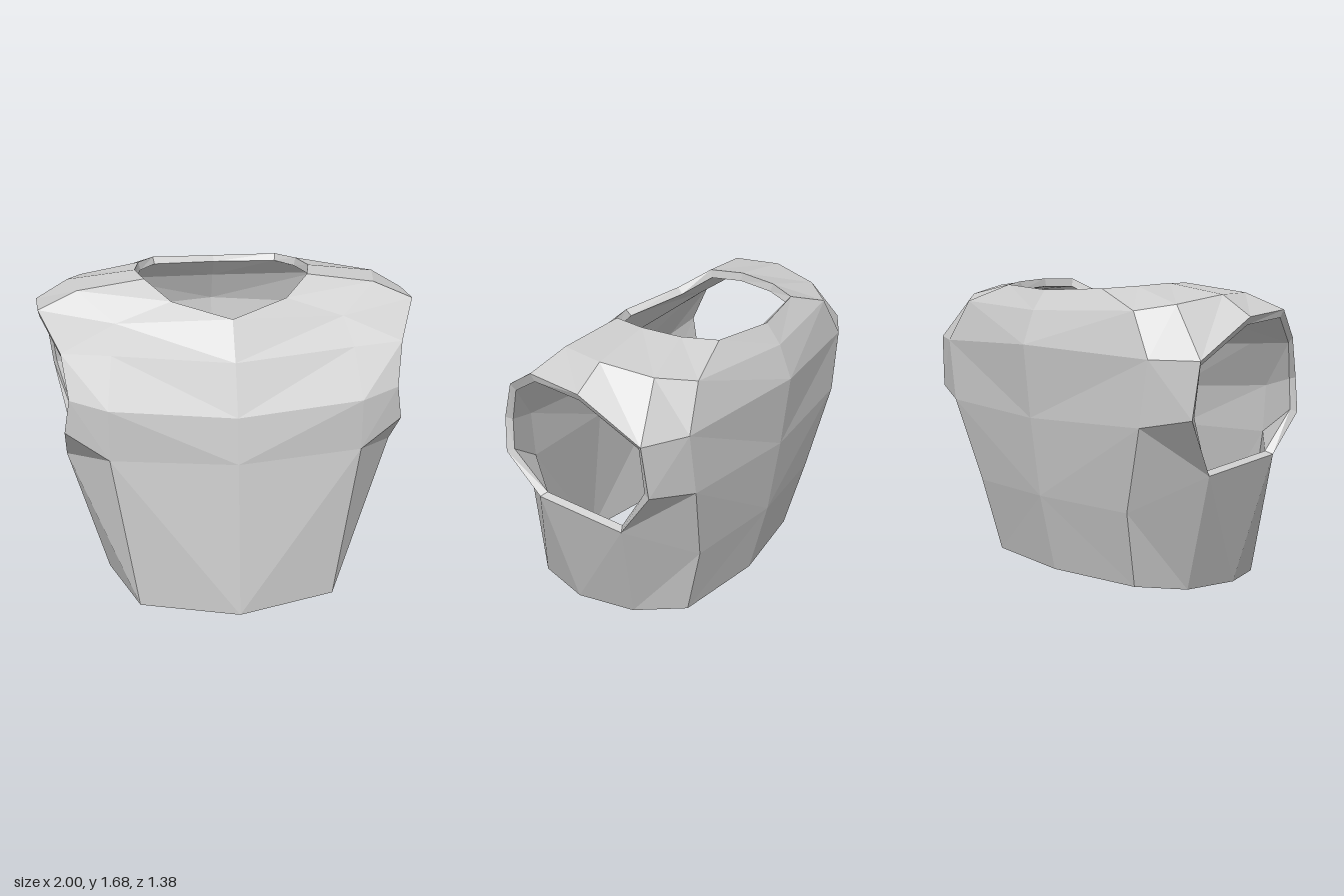
import * as THREE from 'three';

const THICKNESS = 0.045;

// Half-shell outline points (x >= 0), grouped by region; mirrored across x = 0
const regions = {
  // hem, front centre to back centre
  h: [[0, 0.005, 0.685], [0.52, 0.03, 0.56], [0.67, 0.08, 0.2], [0.645, 0.11, -0.15], [0.52, 0.16, -0.42], [0, 0.16, -0.49]],
  // arm opening, from lower front, over the top, to lower back
  a: [[0.87, 0.8, 0.26], [0.87, 1, 0.47], [0.84, 1.18, 0.49], [0.87, 1.4, 0.41], [0.98, 1.56, 0.17],
    [1, 1.54, -0.13], [0.97, 1.35, -0.46], [0.94, 1.07, -0.48], [0.86, 0.76, -0.25]],
  // neck opening, front to back
  n: [[0, 1.525, 0.34], [0.3, 1.59, 0.2], [0.43, 1.68, 0.07], [0.47, 1.685, -0.11], [0.44, 1.675, -0.32], [0.35, 1.665, -0.48], [0, 1.65, -0.54]],
  // chest: centre line, then side column
  f: [[0, 1.33, 0.455], [0, 1.07, 0.555], [0, 0.83, 0.592], [0.62, 1.38, 0.415], [0.65, 1.13, 0.535], [0.65, 0.86, 0.53], [0.59, 1.5, 0.26]],
  // shoulder ridge
  s: [[0.78, 1.64, 0.115], [0.83, 1.64, -0.13], [0.76, 1.6, -0.39]],
  // back: side and centre of each row, top to bottom
  b: [[0.62, 1.57, -0.54], [0, 1.55, -0.62], [0.75, 1.35, -0.58], [0, 1.38, -0.69], [0.7, 1.02, -0.585], [0, 1, -0.65], [0.56, 0.57, -0.52], [0, 0.58, -0.59]],
};

const panels = [
  // lower body
  'h0 h1 f5 f2', 'h1 h2 a0 f5', 'h2 h3 a8 a0', 'h3 h4 b6 a8', 'h4 h5 b7 b6',
  // chest
  'f5 a0 a1', 'f5 a1 a2 f4', 'f2 f5 f4 f1', 'f1 f4 f3 f0', 'f4 a2 a3 f3',
  'f3 a3 f6', 'f0 f3 f6', 'f0 f6 n0', 'n0 f6 n1',
  // shoulder
  'n1 f6 s0 n2', 'f6 a3 a4 s0', 'n2 s0 s1 n3', 's0 a4 a5 s1', 'n3 s1 s2 n4', 's1 a5 a6 s2',
  // back
  'n4 s2 b0 n5', 'n5 b0 b1 n6', 's2 a6 b2 b0', 'b0 b2 b3 b1', 'b2 a6 a7 b4', 'b2 b4 b5 b3', 'b4 a7 a8 b6', 'b4 b6 b7 b5',
];

// Full outer skin as shared points and outward-facing triangles
function buildSkin() {
  const points = [], right = {}, left = {}, triangles = [];
  for (const [key, list] of Object.entries(regions)) {
    list.forEach(([x, y, z], i) => {
      right[key + i] = left[key + i] = points.push(new THREE.Vector3(x, y, z)) - 1;
      if (x > 0) left[key + i] = points.push(new THREE.Vector3(-x, y, z)) - 1;
    });
  }
  const centre = new THREE.Vector3(0, 1, 0);
  const add = (a, b, c) => {
    const tri = new THREE.Triangle(points[a], points[b], points[c]);
    const out = tri.getMidpoint(new THREE.Vector3()).sub(centre);
    triangles.push(tri.getNormal(new THREE.Vector3()).dot(out) > 0 ? [a, b, c] : [a, c, b]);
  };
  for (const panel of panels) {
    for (const side of [right, left]) {
      const [a, b, c, d] = panel.split(' ').map((name) => side[name]);
      add(a, b, c);
      if (d !== undefined) add(a, c, d);
    }
  }
  return { points, triangles };
}

function meshFrom(name, points, triangles, material) {
  const indexed = new THREE.BufferGeometry().setFromPoints(points);
  indexed.setIndex(triangles.flat());
  const geometry = indexed.toNonIndexed();
  geometry.computeVertexNormals();
  const mesh = new THREE.Mesh(geometry, material);
  mesh.name = name;
  return mesh;
}

export function createModel() {
  const group = new THREE.Group();
  group.name = 'torsoArmour';
  const metal = new THREE.MeshStandardMaterial({ color: 0xcccccc });
  metal.name = 'pale grey';
  metal.flatShading = true;

  const { points, triangles } = buildSkin();

  // Inner lining: the skin pushed inward along averaged normals
  const normals = points.map(() => new THREE.Vector3());
  const edges = new Set();
  for (const [a, b, c] of triangles) {
    const n = new THREE.Triangle(points[a], points[b], points[c]).getNormal(new THREE.Vector3());
    [a, b, c].forEach((i) => normals[i].add(n));
    [[a, b], [b, c], [c, a]].forEach((e) => edges.add(e.join()));
  }
  const inner = points.map((p, i) => p.clone().addScaledVector(normals[i].normalize(), -THICKNESS));

  // Rims: bridge every open edge to the lining
  const rim = [], count = points.length;
  for (const edge of edges) {
    const [a, b] = edge.split(',').map(Number);
    if (!edges.has(`${b},${a}`)) rim.push([b, a, a + count], [b, a + count, b + count]);
  }

  group.add(meshFrom('outerShell', points, triangles, metal));
  group.add(meshFrom('innerLining', inner, triangles.map(([a, b, c]) => [a, c, b]), metal));
  group.add(meshFrom('openingRims', [...points, ...inner], rim, metal));
  return group;
}
